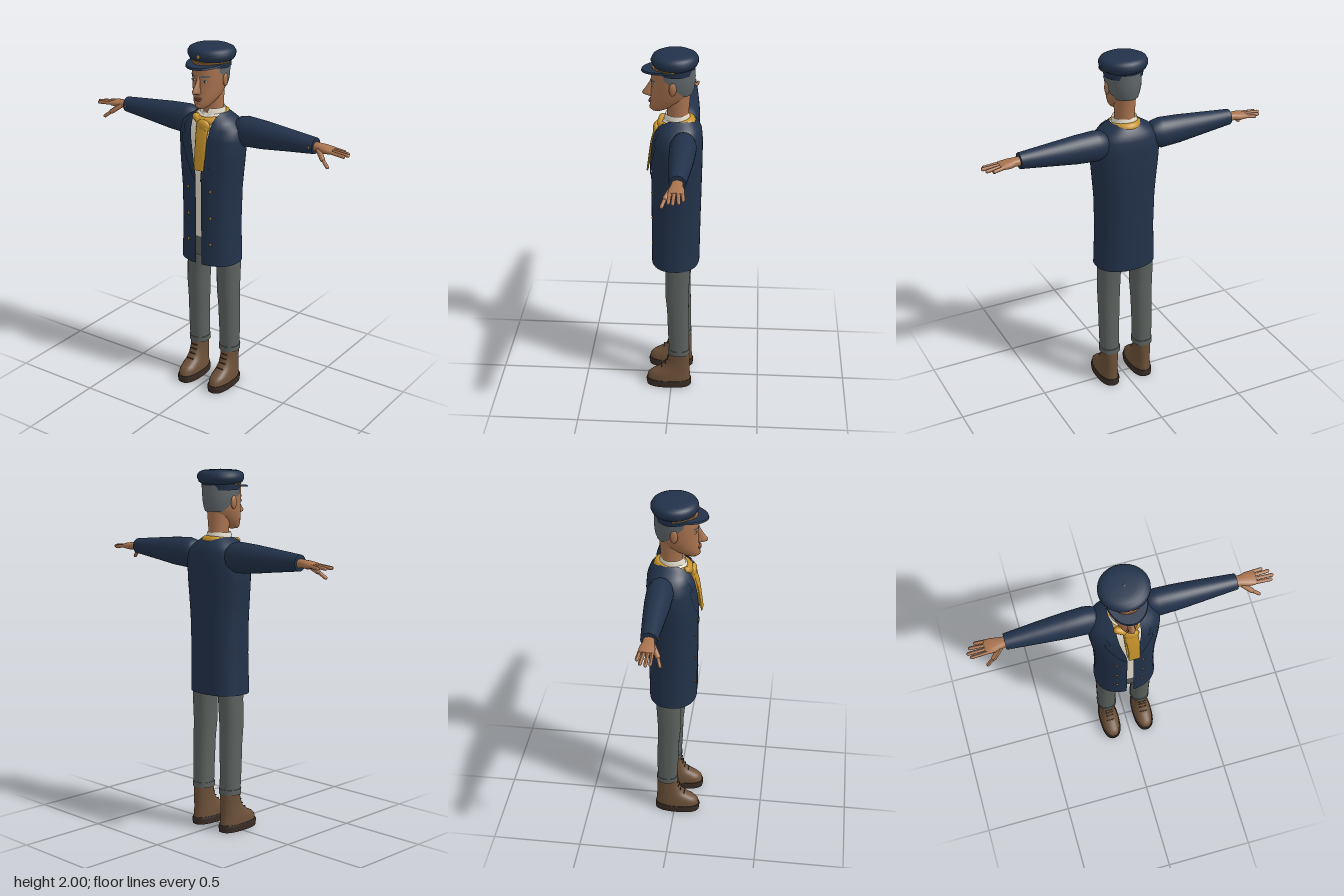
import * as THREE from 'three';

const mat = (name, color, side = THREE.FrontSide) => {
  const m = new THREE.MeshStandardMaterial({ color, side });
  m.name = name;
  return m;
};

// ring = [y, xMin, xMax, zBack, zFront, start angle (0 = closed)]; p is the superellipse power
function loft(rings, { n = 32, p = 2, cap = true } = {}) {
  const pos = [], idx = [];
  const open = rings.some(r => r[5] > 0), cols = open ? n + 1 : n;
  const pw = v => Math.sign(v) * Math.abs(v) ** (2 / p);
  const addRing = ([y, x0, x1, z0, z1, a = 0]) => {
    for (let j = 0; j < cols; j++) {
      const t = a + (2 * Math.PI - 2 * a) * j / n;
      pos.push((x0 + x1) / 2 + (x1 - x0) / 2 * pw(Math.sin(t)), y, (z0 + z1) / 2 + (z1 - z0) / 2 * pw(Math.cos(t)));
    }
  };
  rings.forEach(addRing);
  for (let i = 0; i < rings.length - 1; i++) for (let j = 0; j < n; j++) {
    const k = (j + 1) % cols, a = i * cols + j, b = i * cols + k, c = b + cols, d = a + cols;
    idx.push(a, b, c, a, c, d);
  }
  if (cap && !open) [rings[0], rings[rings.length - 1]].forEach((r, end) => {
    const base = pos.length / 3;
    addRing(r);
    pos.push((r[1] + r[2]) / 2, r[0], (r[3] + r[4]) / 2);
    for (let j = 0; j < n; j++) {
      const a = base + j, b = base + (j + 1) % n;
      end ? idx.push(a, b, base + n) : idx.push(b, a, base + n);
    }
  });
  return build(pos, idx);
}

function build(pos, idx) {
  const g = new THREE.BufferGeometry();
  g.setAttribute('position', new THREE.Float32BufferAttribute(pos, 3));
  g.setIndex(idx);
  g.computeVertexNormals();
  return g;
}

// Front z of a lofted surface at x, y
function frontZ(rings, p, x, y) {
  let i = 0;
  while (i < rings.length - 2 && rings[i + 1][0] < y) i++;
  const t = THREE.MathUtils.clamp((y - rings[i][0]) / (rings[i + 1][0] - rings[i][0]), 0, 1);
  const [, x0, x1, z0, z1] = rings[i].map((v, k) => v + (rings[i + 1][k] - v) * t);
  const u = Math.min(1, Math.abs((x - (x0 + x1) / 2) / ((x1 - x0) / 2)));
  return (z0 + z1) / 2 + (z1 - z0) / 2 * (1 - u ** p) ** (1 / p);
}

// Thin cloth lying on a lofted surface; rows = [y, xFrom, xTo] going up
function drape(rings, p, rows, off, cols = 6) {
  const pos = [], idx = [];
  rows.forEach(([y, a, b]) => {
    for (let j = 0; j <= cols; j++) {
      const x = a + (b - a) * j / cols;
      pos.push(x, y, frontZ(rings, p, x, y) + off);
    }
  });
  for (let i = 0; i < rows.length - 1; i++) for (let j = 0; j < cols; j++) {
    const a = i * (cols + 1) + j, d = a + cols + 1;
    idx.push(a, a + 1, d + 1, a, d + 1, d);
  }
  return build(pos, idx);
}

function mirrored(geo) {
  const g = geo.clone().scale(-1, 1, 1), ix = g.index.array;
  for (let i = 0; i < ix.length; i += 3) [ix[i], ix[i + 1]] = [ix[i + 1], ix[i]];
  g.computeVertexNormals();
  return g;
}

// Rounded rod between two points
function rod(a, b, r) {
  const A = new THREE.Vector3(...a), B = new THREE.Vector3(...b), d = B.clone().sub(A);
  const q = new THREE.Quaternion().setFromUnitVectors(new THREE.Vector3(0, 1, 0), d.clone().normalize());
  const c = A.add(B).multiplyScalar(0.5);
  return new THREE.CapsuleGeometry(r, d.length(), 5, 10).applyQuaternion(q).translate(c.x, c.y, c.z);
}

const ball = (x, y, z, rx, ry, rz) => new THREE.SphereGeometry(1, 16, 12).scale(rx, ry, rz).translate(x, y, z);

export function createModel() {
  const group = new THREE.Group();
  const navy = mat('navy cloth', 0x22324a, THREE.DoubleSide), grey = mat('grey trousers', 0x5c625f);
  const brown = mat('brown leather', 0x6b5038), sole = mat('dark sole', 0x382b24);
  const yellow = mat('yellow scarf', 0xc8942c), cream = mat('cream shirt', 0xe6dfce, THREE.DoubleSide);
  const skin = mat('skin', 0xa9734f), hairMat = mat('grey hair', 0x5f6669, THREE.DoubleSide);
  const brass = mat('brass', 0xb07c28), lipMat = mat('lips', 0x8a5340);
  const add = (name, geo, m) => {
    const mesh = new THREE.Mesh(geo, m);
    mesh.name = name;
    group.add(mesh);
  };
  const pair = (name, geo, m) => {
    add(name + 'Left', geo, m);
    add(name + 'Right', mirrored(geo), m);
  };

  // Long coat, open at the front: [y, half width, zBack, zFront, half gap]
  const P = 2.3;
  const coat = [
    [0.78, 0.173, -0.15, 0.115, 0.02], [1.0, 0.164, -0.153, 0.115, 0.018], [1.2, 0.168, -0.157, 0.116, 0.017],
    [1.3, 0.177, -0.159, 0.116, 0.018], [1.4, 0.187, -0.161, 0.114, 0.035], [1.5, 0.193, -0.161, 0.106, 0.055],
    [1.56, 0.18, -0.156, 0.094, 0.064], [1.595, 0.145, -0.143, 0.08, 0.068], [1.62, 0.105, -0.122, 0.062, 0.07],
    [1.637, 0.08, -0.105, 0.05, 0.07],
  ].map(([y, w, z0, z1, g]) => [y, -w, w, z0, z1, Math.asin((g / w) ** (P / 2))]);
  add('coat', loft(coat, { n: 48, p: P }), navy);
  pair('lapel', drape(coat, P, [[1.27, 0.017, 0.02], [1.36, 0.024, 0.07], [1.47, 0.046, 0.122], [1.515, 0.054, 0.13],
    [1.522, 0.055, 0.1], [1.56, 0.06, 0.118], [1.6, 0.064, 0.1], [1.625, 0.066, 0.085]], 0.007), navy);
  for (const y of [0.91, 1.065, 1.22])
    pair('coatButton', ball(0.073, y, frontZ(coat, P, 0.073, y), 0.008, 0.008, 0.005), brass);

  // Shirt and hips inside the coat
  const inset = ([y, x0, x1, z0, z1]) => [y, x0 + 0.013, x1 - 0.013, z0 + 0.013, z1 - 0.012];
  const inner = coat.map(inset);
  add('shirt', loft([[0.94, -0.15, 0.15, -0.14, 0.103], ...inner.slice(1)], { p: P }), cream);
  add('hips', loft([[0.82, -0.155, 0.155, -0.135, 0.09], [0.945, -0.148, 0.148, -0.135, 0.101]], { p: P }), grey);
  add('shirtCollar', loft([[1.61, -0.073, 0.073, -0.1, 0.05, 0.12], [1.645, -0.07, 0.07, -0.092, 0.045, 0.16],
    [1.663, -0.066, 0.066, -0.086, 0.038, 0.25]]), cream);

  // Scarf: neck loop, crossing fold, knot and hanging tails
  add('scarfLoop', new THREE.TorusGeometry(0.075, 0.02, 10, 36).rotateX(Math.PI / 2)
    .scale(1, 1.3, 1.12).rotateX(0.16).translate(0, 1.607, -0.018), yellow);
  add('scarfFold', rod([-0.055, 1.612, 0.058], [0.03, 1.565, 0.085], 0.019), yellow);
  add('scarfKnot', ball(0.012, 1.578, 0.085, 0.042, 0.034, 0.02), yellow);
  add('scarfTail', loft([[1.34, -0.016, 0.048, 0.129, 0.139], [1.42, -0.012, 0.05, 0.117, 0.129],
    [1.5, -0.018, 0.05, 0.104, 0.118], [1.57, -0.028, 0.045, 0.078, 0.1]], { n: 16, p: 3 }), yellow);
  add('scarfUnderTail', loft([[1.37, -0.022, 0.02, 0.121, 0.13], [1.57, -0.03, 0.012, 0.075, 0.097]], { n: 16, p: 3 }), yellow);

  // Sleeves: rings run along x, [x, top, bottom, zBack, zFront]
  const sleeve = [[0.112, 1.56, 1.52, -0.09, -0.045], [0.125, 1.593, 1.49, -0.115, -0.018], [0.15, 1.615, 1.468, -0.131, -0.002],
    [0.19, 1.624, 1.456, -0.137, 0.005], [0.3, 1.618, 1.463, -0.133, 0.002], [0.45, 1.604, 1.482, -0.121, -0.008],
    [0.618, 1.588, 1.502, -0.105, -0.02]].map(([x, t, b, z0, z1]) => [x, -t, -b, z0, z1]);
  pair('sleeve', loft(sleeve).rotateZ(-Math.PI / 2), navy);
  pair('cuffButton', ball(0.6, 1.545, -0.02, 0.006, 0.006, 0.005), brass);

  // Hands
  const palm = [[0.6, 1.568, 1.518, -0.09, -0.035], [0.645, 1.564, 1.522, -0.092, -0.03], [0.675, 1.562, 1.518, -0.101, -0.022],
    [0.71, 1.556, 1.523, -0.104, -0.02], [0.725, 1.549, 1.528, -0.098, -0.026]].map(([x, t, b, z0, z1]) => [x, -t, -b, z0, z1]);
  pair('palm', loft(palm, { n: 20, p: 2.3 }).rotateZ(-Math.PI / 2), skin);
  [[0.765, 1.532, -0.1, -0.093], [0.797, 1.532, -0.08, -0.072], [0.811, 1.534, -0.052, -0.053], [0.798, 1.532, -0.03, -0.032]]
    .forEach(([x, y, z, zb]) => pair('finger', rod([0.7, 1.541, zb], [x, y, z], 0.0095), skin));
  pair('thumbBase', rod([0.65, 1.535, -0.035], [0.69, 1.503, -0.008], 0.014), skin);
  pair('thumbTip', rod([0.69, 1.503, -0.008], [0.728, 1.473, 0.008], 0.0095), skin);

  // Trouser legs with turned cuffs
  pair('trouserLeg', loft([[0.22, 0.05, 0.158, -0.1, 0.013], [0.35, 0.05, 0.16, -0.1, 0.02], [0.5, 0.045, 0.162, -0.098, 0.025],
    [0.6, 0.04, 0.163, -0.096, 0.035], [0.75, 0.036, 0.164, -0.104, 0.033], [0.9, 0.01, 0.158, -0.12, 0.05]], { p: 2.3 }), grey);
  pair('trouserCuff', loft([[0.215, 0.046, 0.162, -0.104, 0.017], [0.245, 0.046, 0.162, -0.104, 0.018]], { p: 2.3 }), grey);

  // Boots
  pair('bootSole', loft([[0, 0.047, 0.163, -0.113, 0.142], [0.03, 0.045, 0.165, -0.115, 0.146],
    [0.04, 0.048, 0.162, -0.112, 0.143]], { p: 2.5 }), sole);
  const boot = [[0.035, 0.05, 0.16, -0.11, 0.14], [0.065, 0.051, 0.159, -0.108, 0.136], [0.085, 0.054, 0.156, -0.106, 0.115],
    [0.105, 0.057, 0.153, -0.105, 0.075], [0.135, 0.06, 0.15, -0.105, 0.04], [0.18, 0.06, 0.15, -0.104, 0.02],
    [0.24, 0.056, 0.154, -0.102, 0.01]];
  pair('boot', loft(boot, { p: 2.3 }), brown);
  for (const y of [0.12, 0.145, 0.17, 0.195]) {
    const z = frontZ(boot, 2.3, 0.105, y) - 0.001;
    pair('bootLace', rod([0.085, y, z], [0.125, y, z], 0.003), sole);
  }

  // Neck and head
  add('neck', loft([[1.6, -0.058, 0.058, -0.09, 0.03], [1.68, -0.053, 0.053, -0.086, 0.03], [1.78, -0.06, 0.06, -0.095, 0.05]]), skin);
  const head = [[1.676, -0.022, 0.022, 0.055, 0.108], [1.686, -0.036, 0.036, 0.03, 0.119], [1.71, -0.054, 0.054, -0.02, 0.121],
    [1.74, -0.069, 0.069, -0.065, 0.117], [1.78, -0.08, 0.08, -0.1, 0.115], [1.82, -0.087, 0.087, -0.111, 0.111],
    [1.87, -0.091, 0.091, -0.115, 0.114], [1.92, -0.091, 0.091, -0.112, 0.108]];
  add('head', loft(head, { n: 40 }), skin);
  add('hair', loft([[1.775, -0.081, 0.081, -0.104, 0.11, 2.25], [1.8, -0.088, 0.088, -0.113, 0.113, 1.9],
    [1.835, -0.094, 0.094, -0.118, 0.113, 1.6], [1.87, -0.096, 0.096, -0.12, 0.116, 1.2],
    [1.915, -0.095, 0.095, -0.118, 0.11, 1.05]]), hairMat);
  add('nose', loft([[1.757, -0.013, 0.013, 0.1, 0.13], [1.766, -0.019, 0.019, 0.09, 0.157], [1.777, -0.017, 0.017, 0.09, 0.162],
    [1.8, -0.012, 0.012, 0.09, 0.144], [1.84, -0.01, 0.01, 0.09, 0.119], [1.855, -0.01, 0.01, 0.09, 0.114]], { n: 16 }), skin);
  add('upperLip', ball(0, 1.734, 0.116, 0.024, 0.005, 0.011), lipMat);
  add('lowerLip', ball(0, 1.725, 0.117, 0.02, 0.005, 0.011), lipMat);
  add('chin', ball(0, 1.695, 0.106, 0.022, 0.016, 0.018), skin);
  pair('ear', ball(0.092, 1.825, -0.005, 0.011, 0.036, 0.02).rotateX(0), skin);
  const ez = frontZ(head, 2, 0.037, 1.828);
  pair('eyeWhite', ball(0.037, 1.828, ez, 0.015, 0.007, 0.004), cream);
  pair('iris', ball(0.037, 1.828, ez + 0.002, 0.006, 0.0065, 0.004), sole);
  pair('eyebrow', drape(head, 2, [[1.848, 0.016, 0.05], [1.853, 0.015, 0.062], [1.86, 0.022, 0.058]], 0.004), hairMat);

  // Peaked cap
  const disc = (y, r) => [y, -r, r, -0.012 - r * 0.95, -0.012 + r * 0.95];
  add('capBand', loft([disc(1.89, 0.104), disc(1.93, 0.108)], { n: 40 }), navy);
  add('capCrown', loft([disc(1.922, 0.107), disc(1.932, 0.121), disc(1.95, 0.13), disc(1.968, 0.13), disc(1.983, 0.121),
    disc(1.993, 0.1), disc(1.997, 0.06), disc(1.998, 0.01)], { n: 40 }), navy);
  add('capButton', ball(0, 1.996, -0.012, 0.01, 0.004, 0.01), navy);
  add('capPeak', new THREE.CylinderGeometry(0.104, 0.107, 0.01, 36, 1, false, -Math.PI / 2, Math.PI)
    .scale(1, 1, 1.4).rotateX(0.08).translate(0, 1.915, 0.016), navy);
  add('capCord', new THREE.TorusGeometry(0.108, 0.004, 8, 32, Math.PI).rotateX(Math.PI / 2)
    .scale(1, 1, 0.96).translate(0, 1.922, -0.01), brass);
  pair('cordButton', ball(0.108, 1.922, -0.008, 0.005, 0.007, 0.007), brass);
  add('capBadge', ball(0, 1.955, 0.111, 0.01, 0.01, 0.005), brass);
  return group;
}
